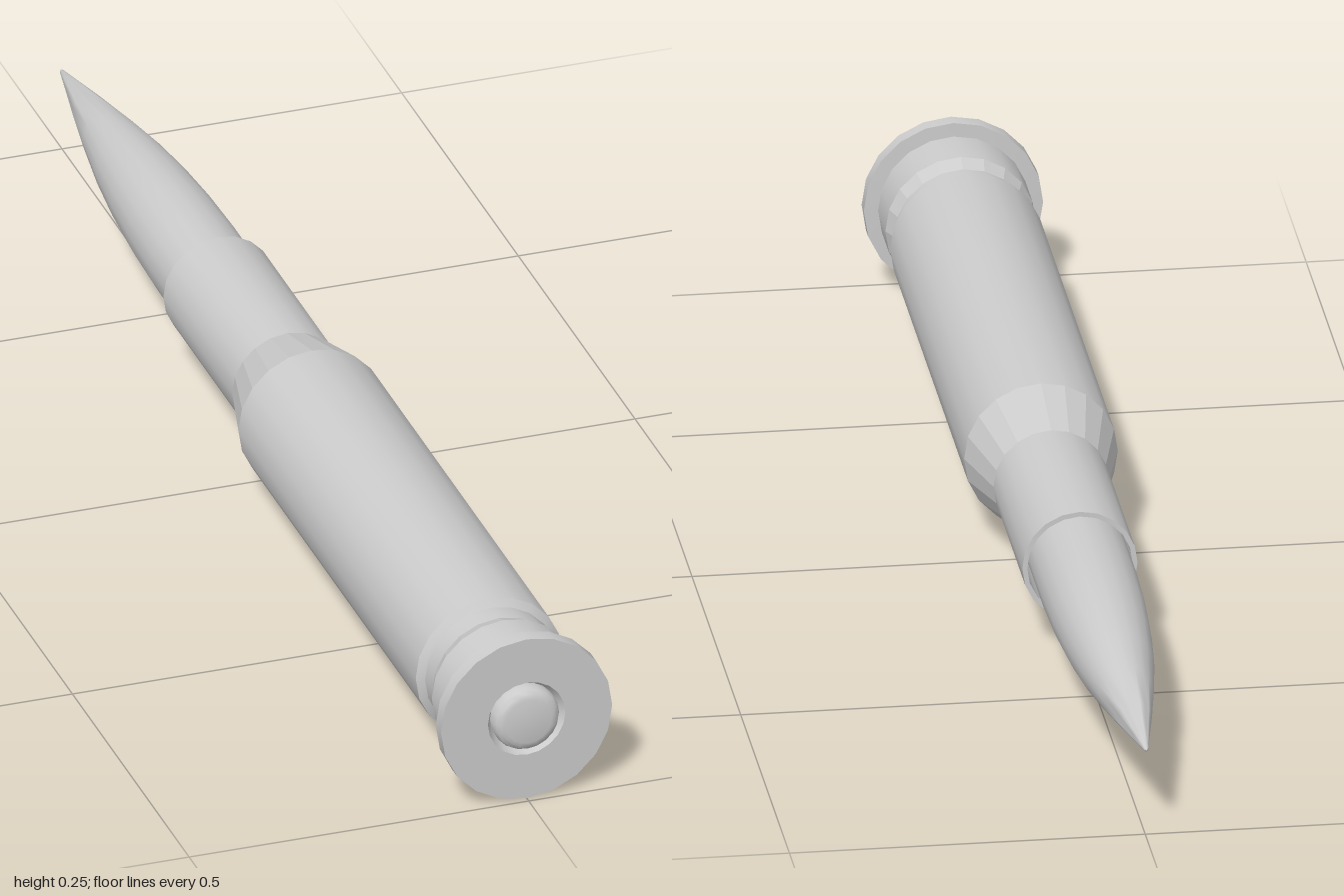
import * as THREE from 'three';
import { toCreasedNormals } from 'three/addons/utils/BufferGeometryUtils.js';

const SIDES = 20;
const AXIS_Y = 0.128;

// Turned part from [radius, z] pairs, running from the base (+z) to the tip (-z)
function turned(name, profile, { crease = 0.4, flat = false } = {}) {
  const points = profile.map(([r, z]) => new THREE.Vector2(r, -z));
  let geometry = new THREE.LatheGeometry(points, SIDES);
  geometry.rotateX(-Math.PI / 2);
  if (!flat) geometry = toCreasedNormals(geometry, crease);
  const material = new THREE.MeshStandardMaterial({ color: 0xcccccc, flatShading: flat });
  const mesh = new THREE.Mesh(geometry, material);
  mesh.name = name;
  mesh.position.y = AXIS_Y;
  return mesh;
}

export function createModel() {
  const group = new THREE.Group();
  group.name = 'cartridge';

  // Domed primer sitting in the base pocket
  group.add(turned('primer', [
    [0, 1], [0.034, 1], [0.041, 0.998], [0.046, 0.994], [0.049, 0.987], [0.049, 0.976],
  ], { crease: 0.7 }));

  // Base with primer pocket, rim and the band in front of it
  group.add(turned('rim', [
    [0, 0.976], [0.049, 0.976], [0.057, 0.991], [0.126, 0.991], [0.126, 0.968],
    [0.106, 0.967], [0.106, 0.893],
  ]));

  // Extractor groove: faceted slope, then a straight floor
  group.add(turned('grooveSlope', [[0.106, 0.893], [0.097, 0.87]], { flat: true }));
  group.add(turned('grooveFloor', [[0.097, 0.87], [0.097, 0.838], [0.108, 0.83]]));

  // Long body, faceted shoulder and open neck
  group.add(turned('body', [[0.108, 0.83], [0.108, 0.07]]));
  group.add(turned('shoulder', [[0.108, 0.07], [0.081, -0.035]], { flat: true }));
  group.add(turned('neck', [
    [0.081, -0.035], [0.081, -0.33], [0.074, -0.33], [0.074, -0.1], [0, -0.1],
  ]));

  // Pointed bullet seated in the neck
  const bullet = turned('bullet', [
    [0, -0.12], [0.069, -0.12], [0.069, -0.42], [0.0665, -0.52], [0.061, -0.61],
    [0.052, -0.7], [0.039, -0.79], [0.024, -0.88], [0.012, -0.945], [0.003, -0.995], [0, -1],
  ], { crease: 0.7 });
  bullet.position.x = -0.002;
  group.add(bullet);

  return group;
}
